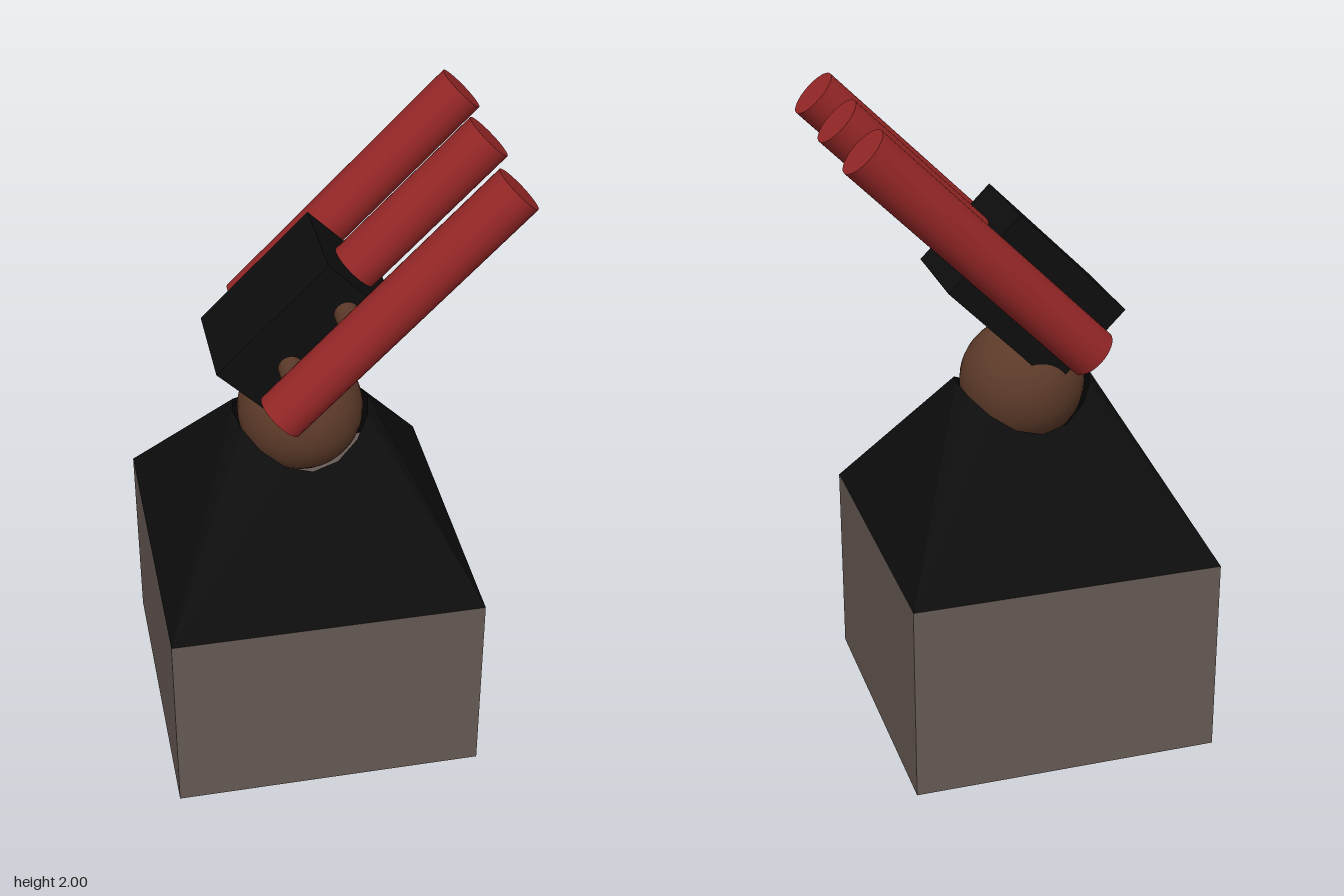
import * as THREE from 'three';

const material = (color, extra = {}) => {
  const m = new THREE.MeshStandardMaterial({ color, ...extra });
  return m;
};

function addPart(parent, name, geometry, mat, x = 0, y = 0, z = 0) {
  const mesh = new THREE.Mesh(geometry, mat);
  mesh.name = name;
  mesh.position.set(x, y, z);
  parent.add(mesh);
  return mesh;
}

// Square foot blending into a round rim that dips at front and back
function collarGeometry(half, height, rimRadius, dip, perCorner) {
  const points = [];
  const n = perCorner * 4;
  const corner = (q) => {
    const a = Math.PI / 4 + (q * Math.PI) / 2;
    return [half * Math.sign(Math.cos(a)), 0, half * Math.sign(Math.sin(a))];
  };
  const rim = (i) => {
    const a = (i / n) * Math.PI * 2;
    return [rimRadius * Math.cos(a), height + dip * Math.cos(2 * a), rimRadius * Math.sin(a)];
  };
  for (let q = 0; q < 4; q++) {
    points.push(...corner(q), ...corner(q - 1), ...rim(q * perCorner));
    for (let i = q * perCorner; i < (q + 1) * perCorner; i++) {
      points.push(...corner(q), ...rim(i), ...rim(i + 1));
    }
  }
  const g = new THREE.BufferGeometry();
  g.setAttribute('position', new THREE.Float32BufferAttribute(points, 3));
  g.computeVertexNormals();
  return g;
}

export function createModel() {
  const model = new THREE.Group();
  model.name = 'turret';
  const stone = material(0x665954);
  const black = material(0x0d0d0d);
  const blackThin = material(0x0d0d0d, { side: THREE.DoubleSide });
  const brown = material(0x5c3a29);
  const red = material(0x942626);
  const cx = -0.065;

  // Pedestal, collar and ball joint
  addPart(model, 'base', new THREE.BoxGeometry(0.95, 0.624, 0.95), stone, cx, 0.312, 0);
  addPart(model, 'collar', collarGeometry(0.475, 0.436, 0.207, 0.055, 4), blackThin, cx, 0.624, 0);
  addPart(model, 'ballJoint', new THREE.SphereGeometry(0.19, 32, 24), brown, cx, 1.1, 0);

  // Gun head, built along x and tilted up by 45 degrees
  const head = new THREE.Group();
  head.name = 'gunHead';
  head.position.set(cx, 1.405, 0);
  head.rotation.z = Math.PI / 4;
  model.add(head);
  addPart(head, 'housing', new THREE.BoxGeometry(0.46, 0.305, 0.31), black);

  // Three parallel barrels
  const barrel = new THREE.CylinderGeometry(0.076, 0.076, 0.93, 32).rotateZ(-Math.PI / 2);
  [['rightBarrel', -0.31], ['middleBarrel', 0], ['leftBarrel', 0.31]].forEach(([name, z]) => {
    addPart(head, name, barrel, red, 0.305, 0, z);
  });

  // Cross rods holding the outer barrels
  const rod = new THREE.CylinderGeometry(0.037, 0.037, 0.6, 20).rotateX(Math.PI / 2);
  addPart(head, 'rearRod', rod, brown, -0.078, 0, 0);
  addPart(head, 'frontRod', rod, brown, 0.153, 0, 0);

  return model;
}
